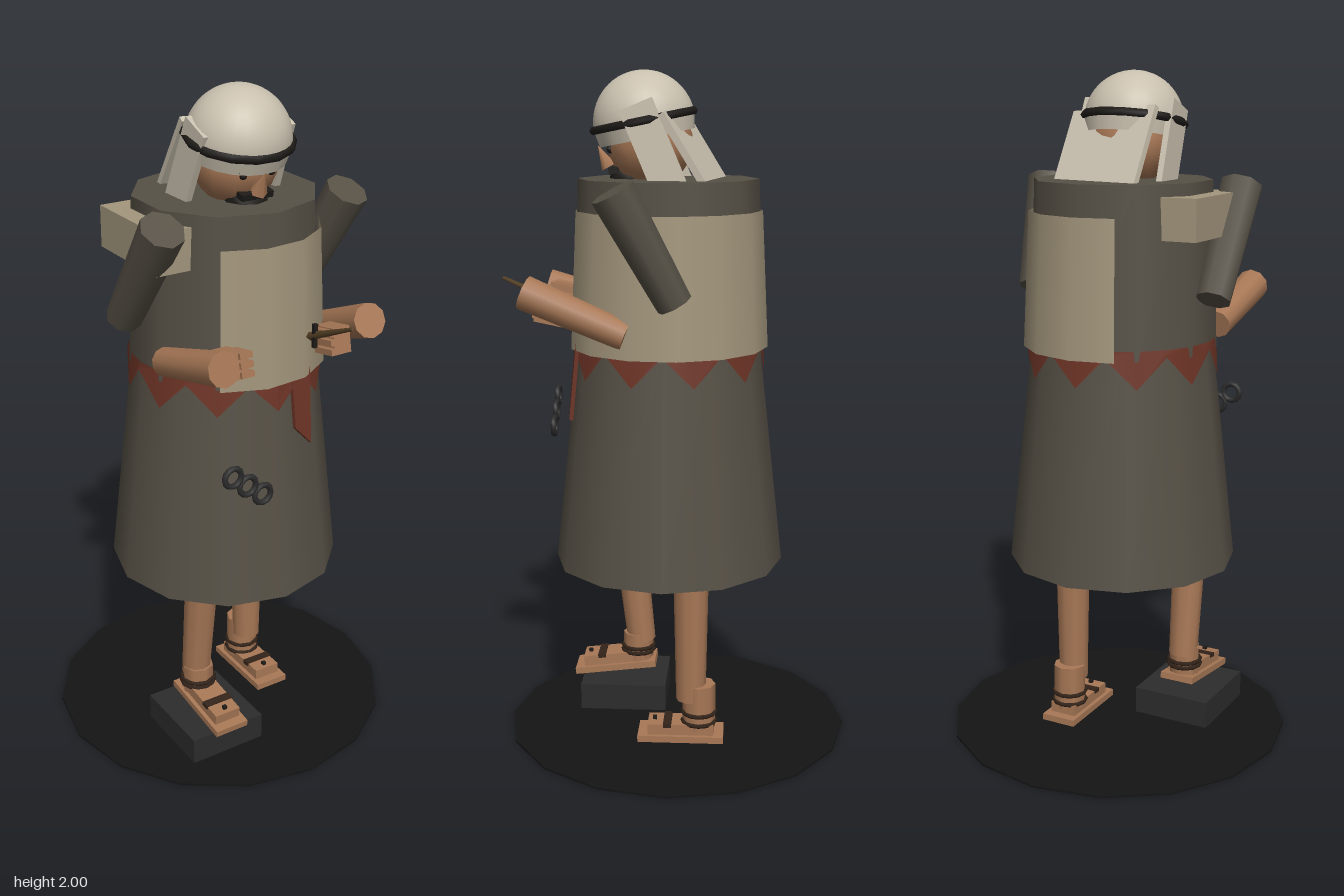
import * as THREE from 'three';

const COLORS = {
  base: 0x141414, stone: 0x2c2c2c, robe: 0x575146, vest: 0xa3967c, red: 0x6e3426,
  skin: 0xa87856, linen: 0xc9c0ae, dark: 0x1e1b18, blade: 0x5a4428, strap: 0x33241a,
};
const mats = {};
for (const k in COLORS) mats[k] = new THREE.MeshStandardMaterial({ color: COLORS[k], side: THREE.DoubleSide });

function add(parent, name, geo, mat, pos = [0, 0, 0], rot = [0, 0, 0]) {
  const m = new THREE.Mesh(geo, mats[mat]);
  m.name = name;
  m.position.set(...pos);
  m.rotation.set(...rot);
  parent.add(m);
  return m;
}
const box = (w, h, d) => new THREE.BoxGeometry(w, h, d);

// Tapered cylinder running from point a to point b
function limb(parent, name, mat, a, b, ra, rb, sides = 8) {
  const p = new THREE.Vector3(...a), q = new THREE.Vector3(...b);
  const dir = q.clone().sub(p);
  const m = add(parent, name, new THREE.CylinderGeometry(rb, ra, dir.length(), sides), mat);
  m.position.copy(p).add(q).multiplyScalar(0.5);
  m.quaternion.setFromUnitVectors(new THREE.Vector3(0, 1, 0), dir.normalize());
  return m;
}

function group(parent, name, pos, rot = [0, 0, 0]) {
  const g = new THREE.Group();
  g.name = name;
  g.position.set(...pos);
  g.rotation.set(...rot);
  parent.add(g);
  return g;
}

// Sandalled foot, sole at y = 0, toes toward +z
function addFoot(parent, name, pos, tilt) {
  const f = group(parent, name, pos, [tilt, 0, 0]);
  add(f, 'sole', box(0.11, 0.02, 0.26), 'skin', [0, 0.01, 0]);
  add(f, 'footTop', box(0.085, 0.035, 0.2), 'skin', [0, 0.035, 0.0]);
  add(f, 'toeStrap', box(0.092, 0.012, 0.025), 'strap', [0, 0.05, 0.04]);
  add(f, 'toePeg', box(0.012, 0.012, 0.012), 'dark', [0, 0.056, 0.08]);
  return f;
}

function buildHead(root) {
  const head = group(root, 'head', [0, 1.85, 0.09], [0.2, 0, 0]);
  add(head, 'skull', new THREE.SphereGeometry(0.125, 12, 10), 'skin', [0, -0.06, 0.0]);
  add(head, 'headCover', new THREE.SphereGeometry(0.148, 28, 14, 0, Math.PI * 2, 0, Math.PI / 2), 'linen', [0, 0, 0.005]);
  add(head, 'headCoverRim', new THREE.CylinderGeometry(0.148, 0.14, 0.045, 20, 1, true), 'linen', [0, -0.022, 0.005]);
  add(head, 'headBand', new THREE.TorusGeometry(0.148, 0.013, 6, 14), 'dark', [0, 0.005, 0.005], [Math.PI / 2, 0, 0]);
  // Face
  add(head, 'nose', new THREE.ConeGeometry(0.025, 0.07, 5), 'skin', [0, -0.07, 0.14], [0.3, 0, 0]);
  add(head, 'moustache', box(0.1, 0.018, 0.03), 'dark', [0, -0.115, 0.115]);
  add(head, 'beard', new THREE.SphereGeometry(0.065, 8, 6), 'dark', [0, -0.155, 0.075]);
  for (const s of [-1, 1]) {
    add(head, 'eye', new THREE.SphereGeometry(0.012, 6, 5), 'dark', [s * 0.045, -0.055, 0.112]);
    add(head, 'brow', box(0.045, 0.01, 0.015), 'dark', [s * 0.045, -0.035, 0.12]);
  }
  // Hanging cloth
  for (const s of [-1, 1])
    add(root, 'veilSide', box(0.018, 0.25, 0.1), 'linen', [s * 0.142, 1.785, 0.06], [0.4, 0, s * 0.04]);
  add(root, 'veilBack', box(0.29, 0.26, 0.02), 'linen', [0.02, 1.775, -0.05], [0.55, -0.15, 0]);
}

function buildClothes(root) {
  const z = 0.025;
  add(root, 'skirt', new THREE.CylinderGeometry(0.272, 0.345, 0.66, 12), 'robe', [0, 0.87, z]);
  add(root, 'torso', new THREE.CylinderGeometry(0.265, 0.282, 0.49, 10), 'robe', [0, 1.445, z]);
  add(root, 'vest', new THREE.CylinderGeometry(0.276, 0.295, 0.4, 9, 1, true, -0.6, 4.15), 'vest', [0, 1.4, z]);

  // Ragged sash: lower edge alternates between points and notches
  const sash = new THREE.CylinderGeometry(0.279, 0.286, 0.04, 20, 1, true);
  const p = sash.attributes.position;
  for (let i = 0; i < p.count; i++)
    if (p.getY(i) < 0) p.setY(i, i % 2 ? -0.09 : 0.0);
  sash.computeVertexNormals();
  add(root, 'sash', sash, 'red', [0, 1.21, z]);

  const tail = new THREE.Shape([[-0.035, 0.02], [0.035, 0.02], [0.03, -0.21], [-0.028, -0.15]]
    .map(([x, y]) => new THREE.Vector2(x, y)));
  add(root, 'sashTail', new THREE.ExtrudeGeometry(tail, { depth: 0.012, bevelEnabled: false }),
    'red', [0.085, 1.2, 0.283], [-0.1, 0.15, 0]);
  add(root, 'satchel', box(0.11, 0.12, 0.31), 'vest', [-0.255, 1.595, 0.025]);
}

function buildArms(root) {
  limb(root, 'leftUpperArm', 'robe', [0.28, 1.36, -0.01], [0.33, 1.67, 0.155], 0.052, 0.064);
  limb(root, 'rightUpperArm', 'robe', [-0.31, 1.36, -0.01], [-0.3, 1.67, 0.2], 0.052, 0.064);
  limb(root, 'leftForearm', 'skin', [0.25, 1.265, 0.13], [0.222, 1.383, 0.42], 0.042, 0.05, 10);
  limb(root, 'rightForearm', 'skin', [-0.26, 1.265, 0.13], [-0.25, 1.345, 0.42], 0.042, 0.05, 10);
  for (const s of [-1, 1]) {
    const hand = group(root, s > 0 ? 'leftHand' : 'rightHand', [s > 0 ? 0.15 : -0.192, 1.322, 0.35], [-0.2, 0, 0]);
    add(hand, 'palm', box(0.055, 0.075, 0.09), 'skin');
    for (let i = 0; i < 3; i++)
      add(hand, 'finger', box(0.04, 0.017, 0.08), 'skin', [-s * 0.025, -0.026 + i * 0.026, 0.015]);
  }
  // Knife held in the left hand
  const knife = limb(root, 'knife', 'blade', [0.1, 1.325, 0.31], [0.1, 1.41, 0.5], 0.012, 0.005, 4);
  knife.name = 'knife';
  add(root, 'knifeGuard', box(0.012, 0.07, 0.012), 'dark', [0.1, 1.335, 0.335]);
  // Short chain
  for (const [x, y] of [[-0.2, 1.0], [-0.152, 0.962], [-0.102, 0.923]])
    add(root, 'chainLink', new THREE.TorusGeometry(0.027, 0.009, 6, 12), 'stone', [x, y, 0.388]);
}

function buildLegs(root) {
  limb(root, 'leftLeg', 'skin', [0.135, 0.13, -0.05], [0.135, 0.62, -0.05], 0.045, 0.055, 10);
  limb(root, 'rightLeg', 'skin', [-0.165, 0.2, 0.125], [-0.165, 0.62, 0.17], 0.045, 0.053, 10);
  add(root, 'leftAnkle', new THREE.CylinderGeometry(0.05, 0.05, 0.14, 8), 'skin', [0.135, 0.11, -0.075]);
  add(root, 'rightAnkle', new THREE.CylinderGeometry(0.048, 0.048, 0.09, 8), 'skin', [-0.165, 0.18, 0.135]);
  addFoot(root, 'leftFoot', [0.135, 0.007, -0.02], 0);
  addFoot(root, 'rightFoot', [-0.165, 0.108, 0.205], 0.12 * -1 + 0.24);
  for (const [x, y, z] of [[0.135, 0.09, -0.075], [0.135, 0.06, -0.075], [-0.165, 0.18, 0.135], [-0.165, 0.165, 0.135]])
    add(root, 'ankleStrap', new THREE.TorusGeometry(0.05, 0.007, 5, 12), 'strap', [x, y, z], [Math.PI / 2, 0, 0]);
}

export function createModel() {
  const root = new THREE.Group();
  root.name = 'robedFigure';
  add(root, 'base', new THREE.CylinderGeometry(0.52, 0.52, 0.006, 16), 'base', [0, 0.003, 0]);
  add(root, 'stepStone', box(0.245, 0.085, 0.27), 'stone', [-0.163, 0.046, 0.175]);
  buildClothes(root);
  buildHead(root);
  buildArms(root);
  buildLegs(root);
  return root;
}
